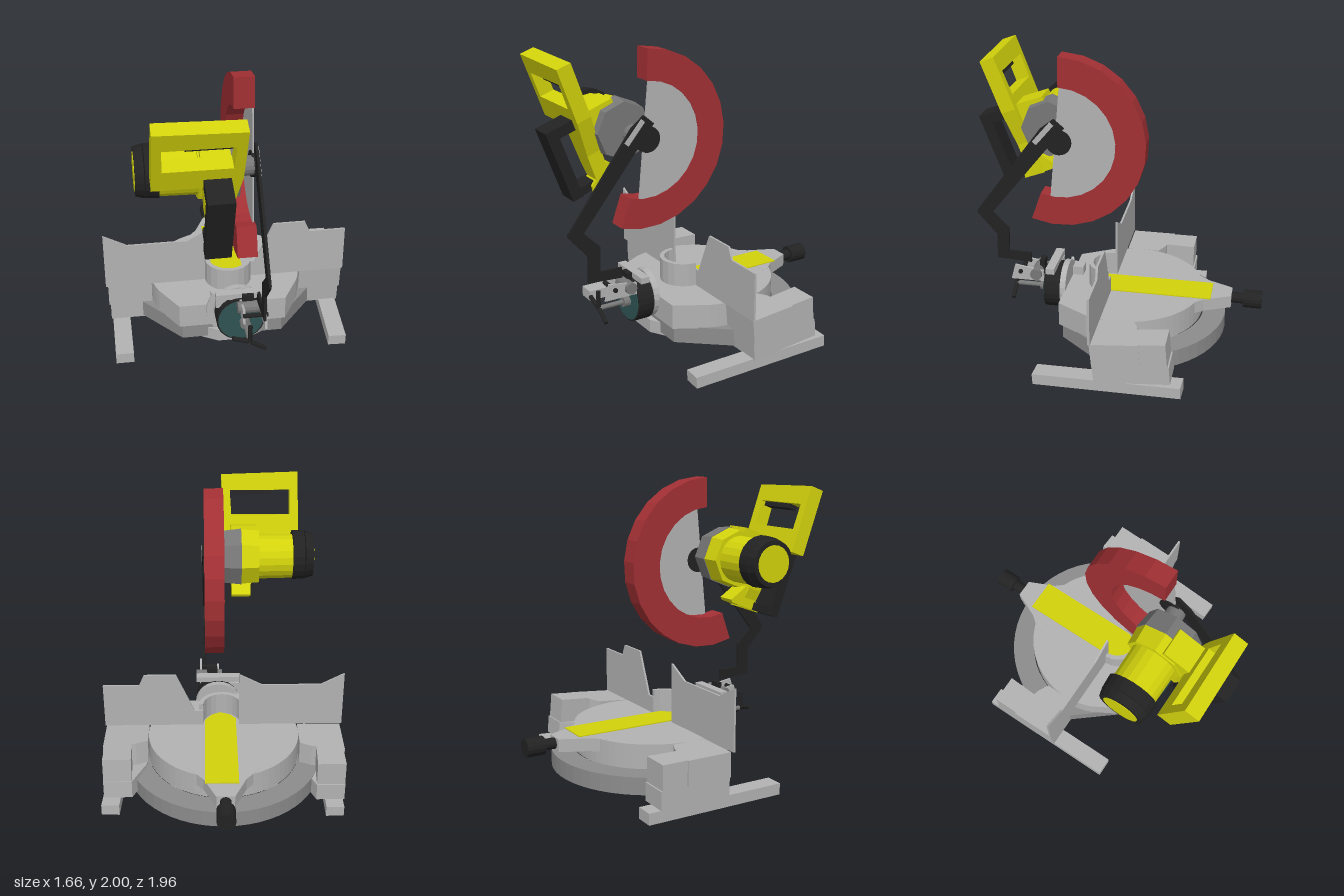
import * as THREE from 'three';

const mat = (name, color) => {
  const m = new THREE.MeshStandardMaterial({ color, flatShading: true, side: THREE.DoubleSide });
  m.name = name;
  return m;
};

export function createModel() {
  const root = new THREE.Group();
  root.name = 'miterSaw';
  const grey = mat('light grey', 0xb2b2b2), mid = mat('mid grey', 0x8c8c8c), steel = mat('gear grey', 0x777777);
  const yellow = mat('yellow', 0xd2d20c), red = mat('red', 0xa23034), black = mat('black', 0x222222), teal = mat('teal', 0x2f5353);

  const add = (name, geo, m, parent = root) => {
    const mesh = new THREE.Mesh(geo, m);
    mesh.name = name;
    parent.add(mesh);
    return mesh;
  };
  const shapeOf = pts => new THREE.Shape(pts.map(p => new THREE.Vector2(p[0], p[1])));
  const extrude = (shape, depth) => new THREE.ExtrudeGeometry(shape, { depth, bevelEnabled: false });
  // outline of [z, y] points, extruded from x0 to x1
  const side = (pts, x0, x1) => extrude(shapeOf(pts), x1 - x0).rotateY(-Math.PI / 2).translate(x1, 0, 0);
  // outline of [x, z] points, extruded from y0 to y1
  const plan = (pts, y0, y1, hole) => {
    const flip = a => a.map(([x, z]) => [x, -z]);
    const s = shapeOf(flip(pts));
    if (hole) s.holes.push(shapeOf(flip(hole)));
    return extrude(s, y1 - y0).rotateX(-Math.PI / 2).translate(0, y0, 0);
  };
  // box by its limits on each axis
  const box = (x0, x1, y0, y1, z0, z1) =>
    new THREE.BoxGeometry(x1 - x0, y1 - y0, z1 - z0).translate((x0 + x1) / 2, (y0 + y1) / 2, (z0 + z1) / 2);
  const cylX = (r0, r1, x0, x1, y, z, n = 24) =>
    new THREE.CylinderGeometry(r1, r0, x1 - x0, n).rotateZ(-Math.PI / 2).translate((x0 + x1) / 2, y, z);
  const cylZ = (r, z0, z1, x, y, n = 24) =>
    new THREE.CylinderGeometry(r, r, z1 - z0, n).rotateX(Math.PI / 2).translate(x, y, (z0 + z1) / 2);
  // points on an arc
  const arc = (cx, cy, r, a0, a1, n) => Array.from({ length: n + 1 }, (_, i) => {
    const a = a0 + (a1 - a0) * i / n;
    return [cx + r * Math.cos(a), cy + r * Math.sin(a)];
  });
  // flat bar in the side plane, from one [z, y] point to another
  const bar = (a, b, w, x0, x1) => {
    const l = Math.hypot(b[0] - a[0], b[1] - a[1]);
    const nz = -(b[1] - a[1]) / l * w / 2, ny = (b[0] - a[0]) / l * w / 2;
    return side([[a[0] + nz, a[1] + ny], [b[0] + nz, b[1] + ny], [b[0] - nz, b[1] - ny], [a[0] - nz, a[1] - ny]], x0, x1);
  };
  const PI = Math.PI;

  // base ring, open in the middle, with spokes
  const ringOut = [...arc(0, -0.07, 0.67, PI, 2 * PI, 28), [0.53, 0.1], [0.34, 0.33], [-0.34, 0.33], [-0.53, 0.1]];
  const ringIn = [...arc(0, -0.07, 0.52, PI, 2 * PI, 28), [0.43, 0.1], [0.28, 0.25], [-0.28, 0.25], [-0.43, 0.1]];
  add('baseRing', plan(ringOut, 0.1, 0.215, ringIn), mid);
  for (const a of [0.15, 0.9, 2.24, 2.99]) {
    add('baseSpoke', new THREE.BoxGeometry(0.56, 0.07, 0.05).translate(0.28, 0, 0).rotateY(a).translate(0, 0.16, 0), grey);
  }
  add('baseHub', new THREE.CylinderGeometry(0.09, 0.09, 0.1, 20).translate(0, 0.17, 0), grey);
  add('frontNose', plan([[-0.22, 0.3], [-0.1, 0.37], [0.1, 0.37], [0.22, 0.3]], 0.08, 0.17), grey);

  // turntable with a rim wall and a rear arm
  const front = [[0.36, 0.35], [-0.36, 0.35]];
  const table = r => arc(0, -0.06, r, PI - 0.4, 2 * PI + 0.4, 40);
  add('tableTop', plan([...table(0.52), ...front], 0.325, 0.375), grey);
  add('tableRim', plan([...table(0.52), ...front], 0.21, 0.325, [...table(0.48), [0.34, 0.31], [-0.34, 0.31]]), grey);
  add('tableArm', plan([[-0.24, -0.48], [-0.14, -0.6], [-0.06, -0.78], [0.06, -0.78], [0.14, -0.6], [0.24, -0.48]], 0.29, 0.376), grey);
  add('kerfPlate', plan([[-0.09, -0.645], [0.13, -0.645], [0.13, 0.08], [0.08, 0.15], [0.02, 0.18], [-0.05, 0.15], [-0.09, 0.1]], 0.374, 0.382), yellow);
  add('tableHandleRod', cylZ(0.037, -0.87, -0.77, 0, 0.335, 16), black);
  add('tableHandleKnob', cylZ(0.061, -0.985, -0.86, 0, 0.335, 16), black);

  // side supports: the right-hand one sits slightly tilted
  for (const s of [-1, 1]) {
    const g = new THREE.Group();
    g.name = s < 0 ? 'rightSupport' : 'leftSupport';
    g.position.set(0, 0.21, 0.03);
    if (s > 0) g.rotation.x = 0.09;
    root.add(g);
    const mir = pts => pts.map(([x, z]) => [s * x, z]);
    add('upperBlock', plan(mir([[0.52, 0], [0.82, 0], [0.82, -0.31], [0.6, -0.27], [0.52, -0.23]]), 0, 0.165), grey, g);
    add('rearBlock', plan(mir([[0.63, -0.26], [0.81, -0.3], [0.81, -0.48], [0.62, -0.48]]), 0, 0.165), grey, g);
    add('lowerBlock', plan(mir([[0.53, 0], [0.81, 0], [0.81, -0.49], [0.62, -0.49], [0.53, -0.26]]), -0.12, 0), grey, g);
    const foot = add('foot', new THREE.BoxGeometry(0.12, 0.075, 0.97), grey);
    foot.position.set(s * 0.74, s < 0 ? 0.05 : 0.062, -0.055);
    if (s > 0) foot.rotation.set(0.045, -0.05, 0);
  }

  // fence halves joined by a curved bridge
  const fence = pts => extrude(shapeOf(pts), 0.014).translate(0, 0, 0.036);
  add('fenceRight', fence([[-0.835, 0.375], [-0.11, 0.375], [-0.11, 0.78], [-0.27, 0.695], [-0.675, 0.695], [-0.835, 0.78]]), grey);
  add('fenceLeft', fence([[0.14, 0.375], [0.83, 0.375], [0.83, 0.7], [0.58, 0.7], [0.545, 0.78], [0.325, 0.78], [0.2, 0.49], [0.14, 0.49]]), grey);
  add('fenceBridge', plan([...arc(0.01, 0.05, 0.16, 0, PI, 10), ...arc(0.01, 0.05, 0.13, PI, 0, 10)], 0.375, 0.535), grey);
  add('frontStop', box(-0.14, -0.05, 0.375, 0.435, 0.27, 0.35), grey);

  // bevel dial and its clamp
  add('dialPlate', cylZ(0.165, 0.345, 0.385, 0.03, 0.35), grey);
  add('dialScale', extrude(shapeOf([...arc(0.03, 0.34, 0.21, 2.5, 3.9, 10), ...arc(0.03, 0.34, 0.15, 3.9, 2.5, 10)]), 0.02).translate(0, 0, 0.355), grey);
  add('dialBody', cylZ(0.16, 0.385, 0.5, 0.03, 0.34), black);
  add('dialFace', cylZ(0.15, 0.498, 0.505, 0.03, 0.34), teal);
  add('clampRod', cylZ(0.016, 0.5, 0.73, 0.055, 0.33, 12), steel);
  add('clampCollar', cylZ(0.035, 0.5, 0.55, 0.055, 0.33, 12), steel);
  for (const a of [PI / 2, PI * 0.9, PI * 1.82]) {
    add('clampSpoke', new THREE.CylinderGeometry(0.015, 0.015, 0.12, 8).rotateZ(-PI / 2)
      .translate(0.06, 0, 0).rotateZ(a).translate(0.055, 0.33, 0.725), black);
  }

  // hinge bracket
  add('hingeCheek', side([[0.5, 0.42], [0.73, 0.42], [0.7, 0.53], [0.5, 0.5]], 0.15, 0.165), grey);
  add('hingeCheek', side([[0.5, 0.42], [0.66, 0.42], [0.64, 0.52], [0.5, 0.5]], 0.02, 0.035), grey);
  add('hingeBar', box(-0.13, 0.19, 0.49, 0.53, 0.42, 0.48), grey);
  add('hingeBar', box(-0.13, 0.03, 0.42, 0.48, 0.42, 0.46), grey);
  add('hingePin', cylX(0.04, 0.04, 0.0, 0.19, 0.475, 0.55, 12), steel);
  add('hingeBolt', cylX(0.015, 0.015, 0.02, 0.18, 0.485, 0.66, 10), black);
  add('hingeBlock', box(0.035, 0.11, 0.42, 0.55, 0.505, 0.54), black);

  // cranked link arm with a slot at the top
  add('linkArm', side([[0.41, 1.59], [0.34, 1.53], [0.85, 0.9], [0.74, 0.79], [0.745, 0.62], [0.59, 0.615], [0.59, 0.545],
    [0.83, 0.56], [0.825, 0.74], [0.955, 0.89], [0.955, 0.91], [0.5, 1.52]], 0.12, 0.137), black);
  add('armSlot', bar([0.54, 1.42], [0.42, 1.56], 0.035, 0.136, 0.141), grey);
  add('armPivot', cylX(0.085, 0.085, 0.1, 0.132, 1.43, 0.38, 20), black);

  // blade guard and side plate
  const cz = 0.385, cy = 1.42, a0 = 1.22, a1 = PI * 1.5 + 0.07;
  // sweep from the upper end, round the rear, to the lower end
  const g0 = PI / 2 + 0.02, g1 = PI * 1.5 + 0.34;
  add('bladeGuard', side([...arc(cz, cy, 0.58, g0, g1, 14), ...arc(cz, cy, 0.38, g1, g0, 14)], -0.005, 0.122), red);
  add('guardPlate', side(arc(cz, cy, 0.385, PI / 2 + 0.04, PI * 1.5 + 0.16, 16), 0.108, 0.118), grey);

  // motor and gearbox
  const my = 1.47, mz = 0.475;
  add('arborShaft', cylX(0.07, 0.06, -0.02, 0.11, 1.44, 0.42, 16), steel);
  add('gearbox', cylX(0.205, 0.19, -0.13, 0.0, my, mz, 8).translate(0, 0, 0), steel);
  add('motorCollar', cylX(0.19, 0.2, -0.25, -0.125, my, mz, 8), yellow);
  add('motorBody', cylX(0.15, 0.155, -0.49, -0.24, my, mz, 20), yellow);
  add('motorCap', cylX(0.165, 0.17, -0.56, -0.48, my + 0.01, mz, 20), black);
  add('motorCapEnd', cylX(0.15, 0.165, -0.62, -0.565, my + 0.01, mz, 20), black);
  add('motorEndDisc', cylX(0.12, 0.12, -0.624, -0.617, my + 0.01, mz, 20), yellow);

  // tilted handle frame
  const head = new THREE.Group();
  head.name = 'handleGroup';
  head.position.set(0, 1.48, 0.715);
  head.rotation.x = 0.35;
  root.add(head);
  const frame = shapeOf([[-0.54, 0.04], [-0.24, 0.04], [-0.22, -0.25], [-0.18, -0.39], [-0.07, -0.39],
    [-0.06, -0.15], [-0.01, 0.1], [0, 0.47], [-0.535, 0.485]]);
  frame.holes.push(shapeOf([[-0.48, 0.19], [-0.07, 0.19], [-0.06, 0.36], [-0.48, 0.36]]));
  add('handleFrame', extrude(frame, 0.1).translate(0, 0, -0.05), yellow, head);
  add('trigger', box(-0.35, -0.08, 0.33, 0.362, -0.03, 0.03), black, head);
  add('frameMount', box(-0.24, -0.06, -0.13, 0.12, -0.24, -0.04), yellow, head);
  add('gripTop', box(-0.24, -0.08, 0.04, 0.11, 0.04, 0.24), black, head);
  add('gripBar', box(-0.24, -0.08, -0.385, 0.11, 0.165, 0.24), black, head);
  add('gripFoot', box(-0.23, -0.09, -0.385, -0.33, 0.04, 0.2), black, head);
  add('frameToe', side([[0.57, 1.27], [0.45, 1.19], [0.46, 1.17], [0.67, 1.08], [0.68, 1.12]], -0.2, -0.07), yellow);
  return root;
}
